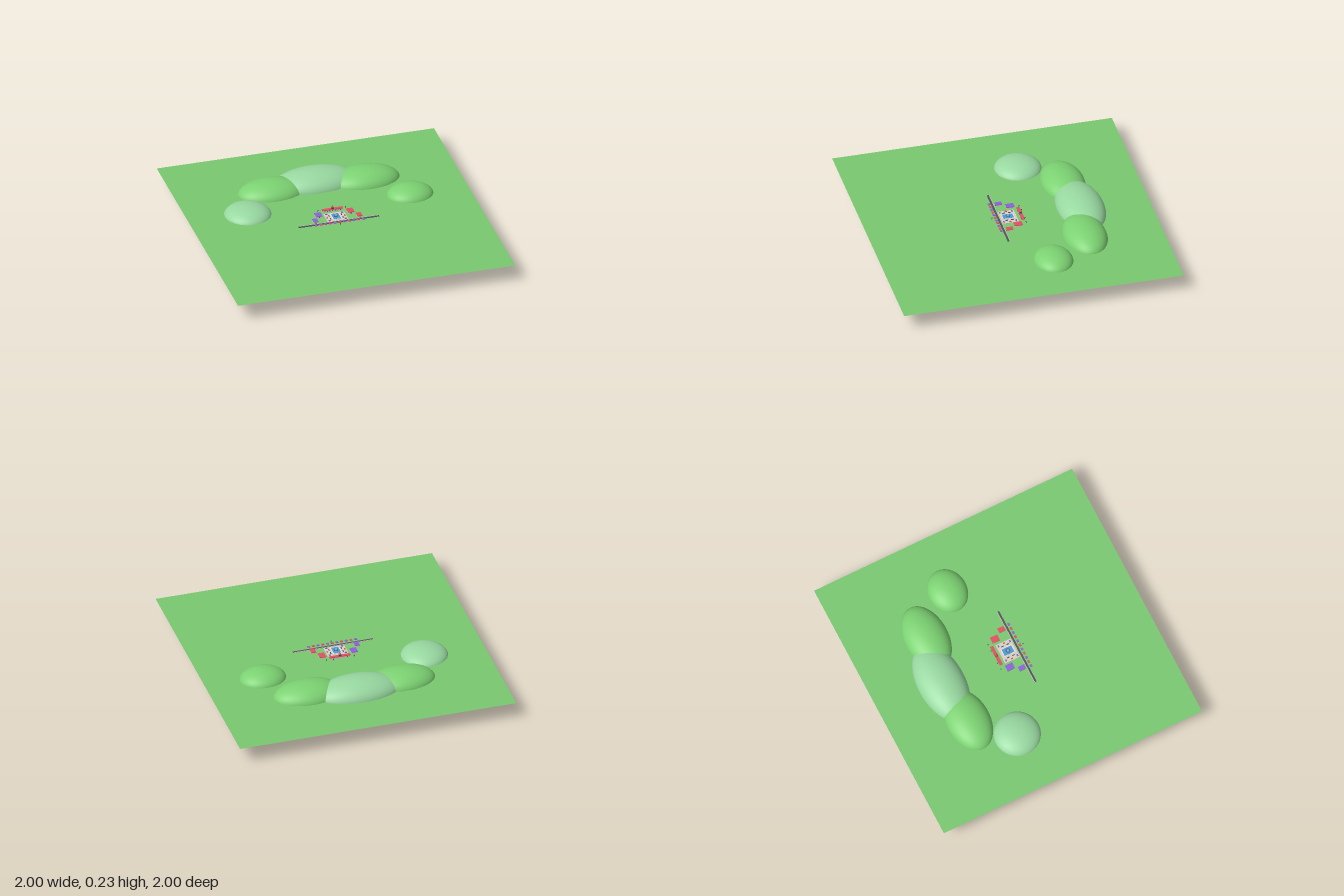
import * as THREE from 'three';

const GROUND = 0.13;
const materials = {};
const mat = (color) => (materials[color] ??= new THREE.MeshStandardMaterial({ color }));
const RED = 0xe05060, PURPLE = 0x8a62d8, WALL = 0xead8c8, STONE = 0xd8cfc0, DARK = 0x55505e, WATER = 0x4c9ad8;

function add(parent, name, geometry, color, x, y, z) {
  const mesh = new THREE.Mesh(geometry, mat(color));
  mesh.name = name;
  mesh.position.set(x, y, z);
  parent.add(mesh);
  return mesh;
}

// Box standing on height y above the ground
const box = (parent, name, color, w, h, d, x, y, z) =>
  add(parent, name, new THREE.BoxGeometry(w, h, d), color, x, GROUND + y + h / 2, z);

// Upright round part standing on height y above the ground
const post = (parent, name, color, rTop, rBottom, h, x, y, z, sides = 12) =>
  add(parent, name, new THREE.CylinderGeometry(rTop, rBottom, h, sides), color, x, GROUND + y + h / 2, z);

function group(parent, name) {
  const g = new THREE.Group();
  g.name = name;
  parent.add(g);
  return g;
}

// Pale walls under a flat coloured roof, with a dark door
function house(parent, name, color, w, d, x, z) {
  const g = group(parent, name);
  box(g, 'walls', WALL, w * 0.9, 0.011, d * 0.9, x, 0, z);
  box(g, 'roof', color, w, 0.004, d, x, 0.011, z);
  box(g, 'door', DARK, 0.008, 0.007, 0.002, x, 0, z + d * 0.45);
}

export function createModel() {
  const model = new THREE.Group();
  model.name = 'parkLandscape';

  // Meadow
  const meadow = add(model, 'meadow', new THREE.PlaneGeometry(2, 2), 0x78c870, 0, GROUND, 0);
  meadow.rotation.x = -Math.PI / 2;
  meadow.material.side = THREE.DoubleSide;

  // Hills: x, z, radii x, y, z, colour
  const hills = group(model, 'hills');
  const LIGHT = 0x98d8a0, GREEN = 0x7cd272;
  [
    [-0.573, -0.217, 0.167, 0.077, 0.167, LIGHT],
    [-0.33, -0.475, 0.24, 0.098, 0.155, GREEN],
    [0, -0.517, 0.31, 0.113, 0.168, LIGHT],
    [0.342, -0.46, 0.25, 0.104, 0.155, GREEN],
    [0.584, -0.174, 0.167, 0.084, 0.139, GREEN],
  ].forEach(([x, z, rx, ry, rz, color]) => {
    add(hills, 'hill', new THREE.SphereGeometry(1, 48, 32), color, x, 0.116, z).scale.set(rx, ry, rz);
  });

  // Plaza with a pool and fountain
  const plaza = group(model, 'plaza');
  box(plaza, 'paving', STONE, 0.15, 0.006, 0.115, 0, -0.003, -0.002);
  box(plaza, 'poolRim', 0xf0e8dc, 0.064, 0.004, 0.086, 0, 0.003, 0);
  box(plaza, 'pool', WATER, 0.052, 0.002, 0.074, 0, 0.006, 0);
  post(plaza, 'fountainBasin', DARK, 0.016, 0.013, 0.004, 0, 0.007, 0, 20);
  post(plaza, 'fountainWater', WATER, 0.012, 0.012, 0.001, 0, 0.011, 0, 20);
  post(plaza, 'fountainColumn', STONE, 0.003, 0.004, 0.008, 0, 0.011, 0);
  for (const sx of [-1, 1]) {
    for (const sz of [-1, 1]) {
      box(plaza, 'cornerPlanter', PURPLE, 0.014, 0.005, 0.01, sx * 0.058, 0.003, sz * 0.044);
      box(plaza, 'bench', DARK, 0.006, 0.004, 0.018, sx * 0.045, 0.003, sz * 0.02);
    }
    box(plaza, 'sidePlanter', RED, 0.008, 0.005, 0.014, sx * 0.064, 0.003, 0);
  }

  // Main hall with a small pointed tower
  const hall = group(model, 'mainHall');
  box(hall, 'walls', WALL, 0.14, 0.014, 0.018, 0, 0, -0.09);
  box(hall, 'roof', RED, 0.15, 0.005, 0.023, 0, 0.014, -0.09);
  box(hall, 'tower', DARK, 0.016, 0.012, 0.018, 0, 0.019, -0.09);
  post(hall, 'spire', RED, 0, 0.012, 0.014, 0, 0.031, -0.09, 4).rotation.y = Math.PI / 4;
  for (let i = -3; i <= 3; i++) box(hall, 'window', DARK, 0.007, 0.006, 0.002, i * 0.019, 0.004, -0.081);

  // Side houses, purple on the right and red on the left
  for (const [side, color] of [[-1, PURPLE], [1, RED]]) {
    house(model, 'backHouse', color, 0.046, 0.056, side * 0.115, -0.043);
    house(model, 'frontHouse', color, 0.035, 0.048, side * 0.158, 0.029);
  }

  // Road with a pale kerb
  box(model, 'road', DARK, 0.58, 0.003, 0.014, 0, 0, 0.07);
  box(model, 'kerb', STONE, 0.58, 0.004, 0.003, 0, 0, 0.0615);

  // Row of market stalls
  for (let i = -5; i <= 5; i++) {
    const stall = group(model, 'stall');
    const x = i * 0.034;
    box(stall, 'counter', WALL, 0.015, 0.008, 0.011, x, 0, 0.092);
    box(stall, 'canopy', i % 2 ? PURPLE : RED, 0.019, 0.004, 0.016, x, 0.008, 0.092);
  }

  // Lamps behind the hall and one in front
  for (const [x, z] of [[-0.1, -0.104], [-0.05, -0.108], [0.05, -0.108], [0.1, -0.104], [0, 0.115]]) {
    const lamp = group(model, 'lamp');
    post(lamp, 'pole', DARK, 0.0015, 0.0015, 0.01, x, 0, z, 8);
    add(lamp, 'globe', new THREE.SphereGeometry(0.004, 12, 8), DARK, x, GROUND + 0.011, z);
  }
  return model;
}
